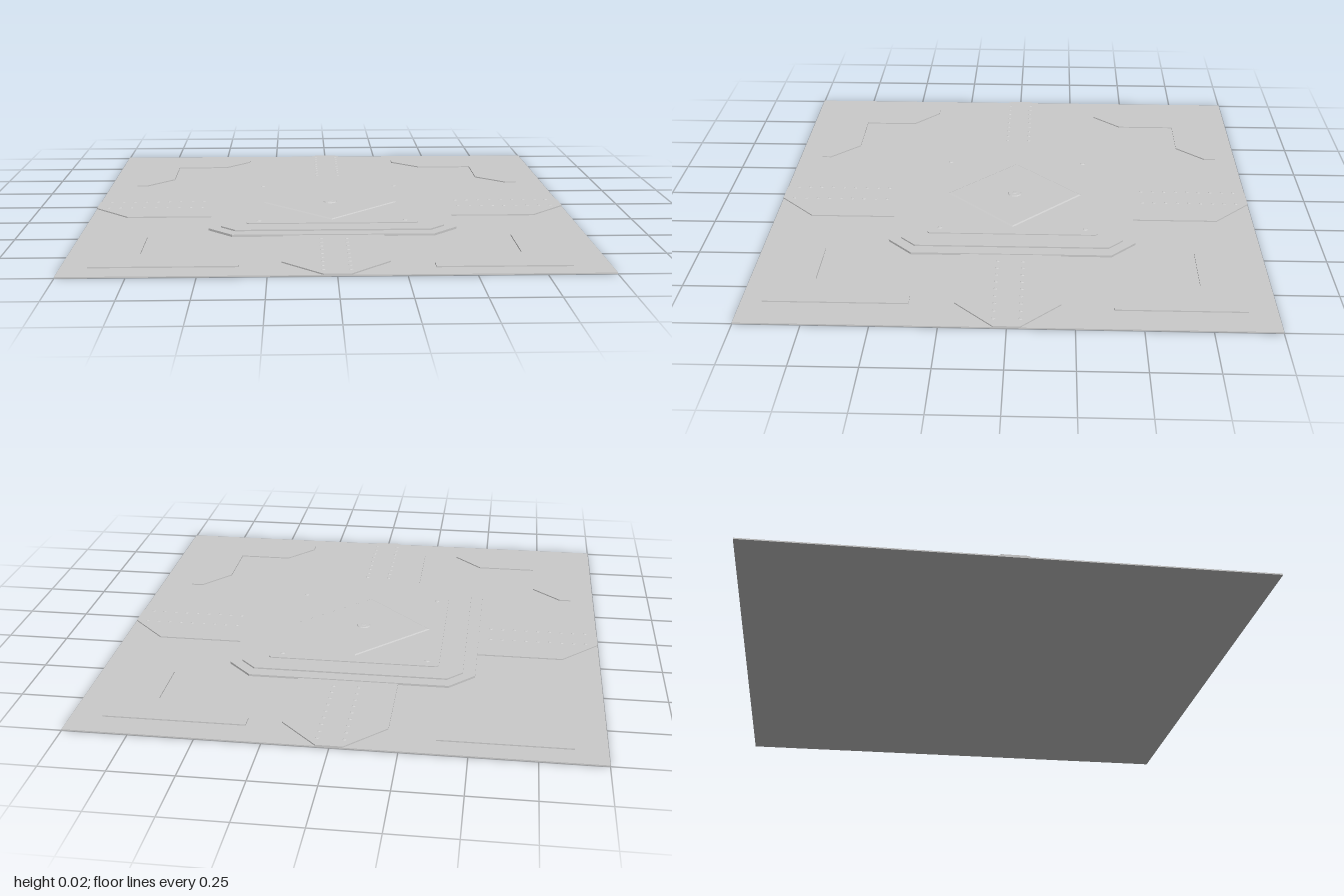
import * as THREE from 'three';

export function createModel() {
  const model = new THREE.Group();
  const material = new THREE.MeshStandardMaterial({ color: 0xcccccc, flatShading: true });
  const BASE = 0.005, ARM = 0.01;

  const add = (name, geometry, parent = model) => {
    const mesh = new THREE.Mesh(geometry, material);
    mesh.name = name;
    parent.add(mesh);
    return mesh;
  };

  // Outlines are [x, z] pairs; slabs stand from y0 to y1
  const toShape = pts => new THREE.Shape(pts.map(([x, z]) => new THREE.Vector2(x, -z)));
  const slab = (name, outline, y0, y1, hole, parent) => {
    const shape = toShape(outline);
    if (hole) shape.holes.push(toShape(hole));
    const g = new THREE.ExtrudeGeometry(shape, { depth: y1 - y0, bevelEnabled: false });
    g.rotateX(-Math.PI / 2).translate(0, y0, 0);
    return add(name, g, parent);
  };

  // Square with cut corners
  const octagon = (r, c) => [
    [-r, -r + c], [-r + c, -r], [r - c, -r], [r, -r + c],
    [r, r - c], [r - c, r], [-r + c, r], [-r, r - c],
  ];

  // Low rivet: a short tapered disc
  const rivet = (name, x, y, z, r, h, parent) => {
    const g = new THREE.CylinderGeometry(r * 0.6, r, h, 8);
    add(name, g, parent).position.set(x, y + h / 2, z);
  };

  // Ground plate
  add('basePlate', new THREE.BoxGeometry(2, BASE, 2).translate(0, BASE / 2, 0));

  // Four arms with two rows of rivets each
  for (let i = 0; i < 4; i++) {
    const arm = new THREE.Group();
    arm.name = 'arm';
    slab('armPlate', [[-0.2, 0.45], [0.2, 0.45], [0.2, 0.85], [0.05, 1], [-0.05, 1], [-0.2, 0.85]],
      0.002, ARM, null, arm);
    for (let k = 0; k < 9; k++) {
      for (const x of [-0.05, 0.05]) rivet('armRivet', x, ARM, 0.55 + k * 0.05, 0.008, 0.002, arm);
    }
    arm.rotation.y = i * Math.PI / 2;
    model.add(arm);
  }

  // Angled corner pads, each slightly different
  const pads = {
    backRightPad: [[-0.88, -0.91], [-0.38, -0.91], [-0.38, -0.86], [-0.49, -0.74],
      [-0.72, -0.74], [-0.72, -0.485], [-0.83, -0.365], [-0.88, -0.365]],
    backLeftPad: [[0.88, -0.89], [0.33, -0.89], [0.33, -0.84], [0.455, -0.73],
      [0.705, -0.73], [0.705, -0.505], [0.83, -0.395], [0.88, -0.395]],
    frontRightPad: [[-0.9, 0.4], [-0.85, 0.4], [-0.73, 0.51], [-0.73, 0.74],
      [-0.475, 0.74], [-0.355, 0.86], [-0.355, 0.9], [-0.9, 0.9]],
    frontLeftPad: [[0.86, 0.37], [0.81, 0.37], [0.7, 0.5], [0.7, 0.745],
      [0.47, 0.745], [0.36, 0.87], [0.36, 0.92], [0.86, 0.92]],
  };
  for (const [name, outline] of Object.entries(pads)) slab(name, outline, 0.002, ARM);

  // Stepped central platform
  slab('platformBase', octagon(0.5, 0.1), 0.002, 0.014);
  slab('platformRim', octagon(0.45, 0.06), 0.013, 0.02, octagon(0.405, 0.045));
  slab('platformFloor', octagon(0.41, 0.05), 0.013, 0.016);
  slab('panelFrame', octagon(0.35, 0.01), 0.015, 0.02, octagon(0.335, 0.005));

  // Diamond panel inside the frame
  const diamond = new THREE.CylinderGeometry(0.28, 0.288, 0.003, 4);
  add('diamondPanel', diamond).position.y = 0.0175;

  // Corner bolts and central hub
  for (const x of [-0.3, 0.3]) {
    for (const z of [-0.3, 0.3]) rivet('cornerBolt', x, 0.016, z, 0.011, 0.003, model);
  }
  add('hub', new THREE.CylinderGeometry(0.026, 0.03, 0.004, 16)).position.y = 0.021;
  rivet('hubCap', 0, 0.023, 0, 0.012, 0.001, model);

  return model;
}
